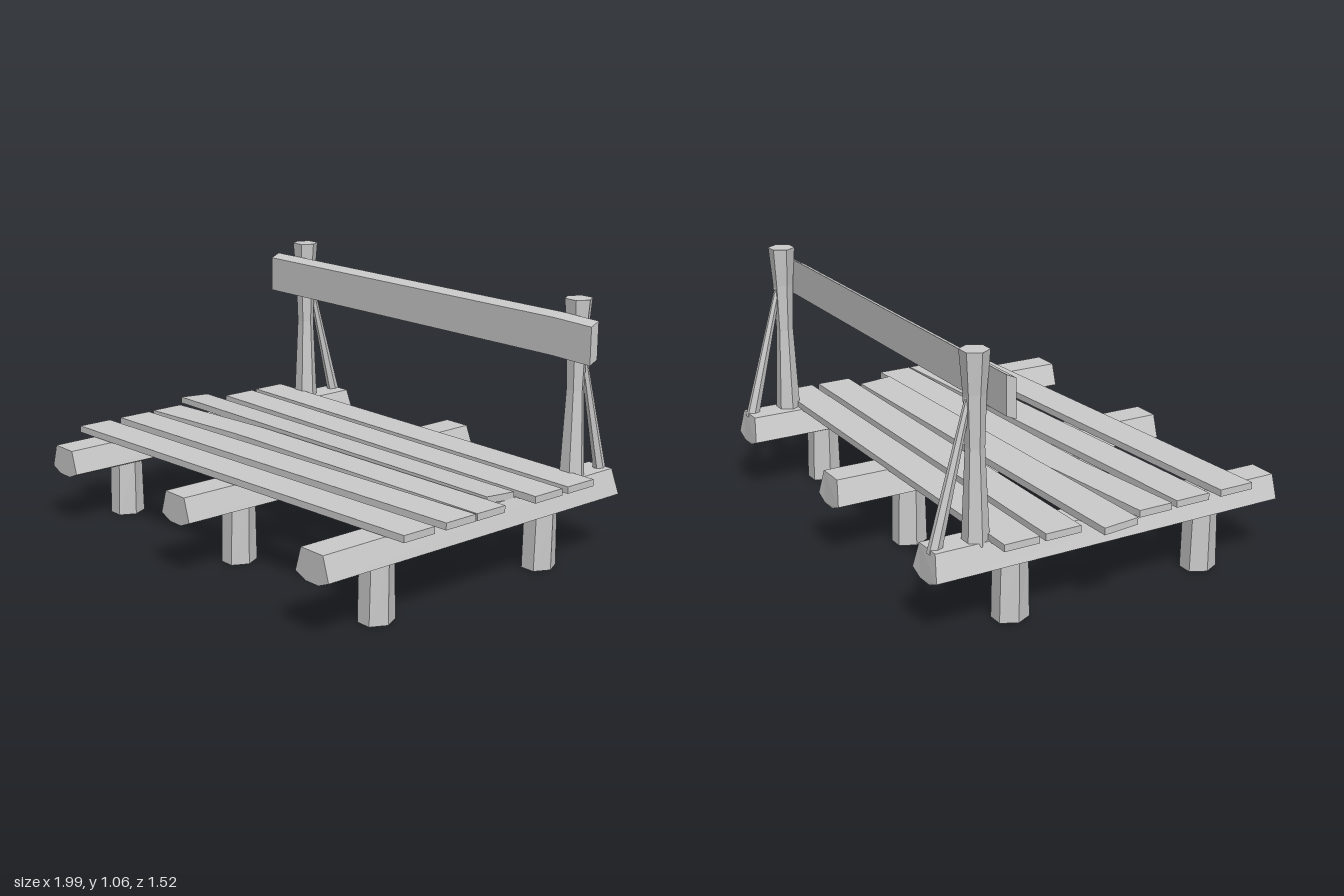
import * as THREE from 'three';

const material = new THREE.MeshStandardMaterial({ color: 0xcccccc, flatShading: true, side: THREE.DoubleSide });

function add(parent, name, geometry) {
  geometry.computeVertexNormals();
  const mesh = new THREE.Mesh(geometry, material);
  mesh.name = name;
  parent.add(mesh);
  return mesh;
}

// Board whose centre line follows stations [x, y, z] along its length
function board(stations, height, depth, shear = 0) {
  const n = stations.length - 1;
  const g = new THREE.BoxGeometry(1, height, depth, n, 1, 1);
  const p = g.attributes.position;
  for (let i = 0; i < p.count; i++) {
    const [x, y, z] = stations[Math.round((p.getX(i) + 0.5) * n)];
    const rise = -shear * p.getZ(i) / depth;
    p.setXYZ(i, x, y + p.getY(i) + rise, z + p.getZ(i));
  }
  return g;
}

// Six-sided upright from rings [y, half width, half depth]
function upright(rings, capped) {
  const n = rings.length - 1;
  const g = new THREE.CylinderGeometry(1, 1, 1, 6, n, !capped);
  const p = g.attributes.position;
  for (let i = 0; i < p.count; i++) {
    const [y, w, d] = rings[Math.round((p.getY(i) + 0.5) * n)];
    // the six-sided ring has points at +-z, so turn it to put them at +-x
    p.setXYZ(i, p.getZ(i) * w, y, -p.getX(i) * d / 0.866);
  }
  return g;
}

export function createModel() {
  const model = new THREE.Group();
  model.name = 'bench';

  // Bearers with chamfered undersides, each on two stub legs
  const section = new THREE.Shape([
    [-0.09, 0.247], [-0.035, 0.224], [0.035, 0.224], [0.09, 0.247], [0.06, 0.342], [-0.06, 0.342],
  ].map(([x, y]) => new THREE.Vector2(x, y)));
  for (const x of [-0.775, 0.02, 0.835]) {
    const g = new THREE.ExtrudeGeometry(section, { depth: 1.52, bevelEnabled: false });
    g.translate(0, 0, -0.76);
    const p = g.attributes.position;
    for (let i = 0; i < p.count; i++) {
      // rear end leans forward and rises slightly
      if (p.getZ(i) < 0 && p.getY(i) > 0.3) p.setXYZ(i, p.getX(i), 0.35, -0.748);
    }
    add(model, 'bearer', g).position.x = x;
    for (const z of [0.45, -0.41]) {
      add(model, 'leg', upright([[0, 0.064, 0.064], [0.25, 0.066, 0.058]], false))
        .position.set(x - 0.007, 0, z);
    }
  }

  // Seat planks, laid unevenly from front to back
  const planks = [
    [[[-0.925, 0.36, 0.51], [0.99, 0.36, 0.395]], 0.15, 0],
    [[[-0.925, 0.36, 0.305], [0.99, 0.36, 0.19]], 0.15, 0],
    [[[-0.93, 0.36, 0.13], [-0.4, 0.36, 0.075], [0.99, 0.36, 0.035]], 0.145, 0],
    [[[-1, 0.367, -0.073], [0.895, 0.363, -0.112]], 0.145, -0.01],
    [[[-0.93, 0.359, -0.275], [0.99, 0.359, -0.275]], 0.15, 0],
    [[[-0.935, 0.359, -0.452], [0.99, 0.359, -0.454]], 0.147, 0],
  ];
  for (const [stations, depth, shear] of planks) {
    add(model, 'seatPlank', board(stations, 0.028, depth, shear));
  }

  // Backrest board, slightly higher at the back
  add(model, 'backrest', board([[-0.93, 0.915, -0.496], [0.8, 0.921, -0.496], [0.99, 0.915, -0.496]], 0.15, 0.04, 0.018));

  // Waisted posts and their raking braces
  for (const x of [-0.79, 0.85]) {
    add(model, 'post', upright([
      [0.335, 0.052, 0.045], [0.7, 0.036, 0.031], [0.9, 0.042, 0.037], [1.06, 0.057, 0.048],
    ], true)).position.set(x, 0, -0.56);

    const brace = upright([[0, 0.021, 0.026], [0.27, 0.016, 0.019], [0.56, 0.012, 0.012]], true);
    const p = brace.attributes.position;
    for (let i = 0; i < p.count; i++) {
      p.setXYZ(i, p.getX(i), p.getY(i) + 0.335, p.getZ(i) - 0.728 + p.getY(i) * 0.26);
    }
    add(model, 'brace', brace).position.x = x;
  }

  return model;
}
